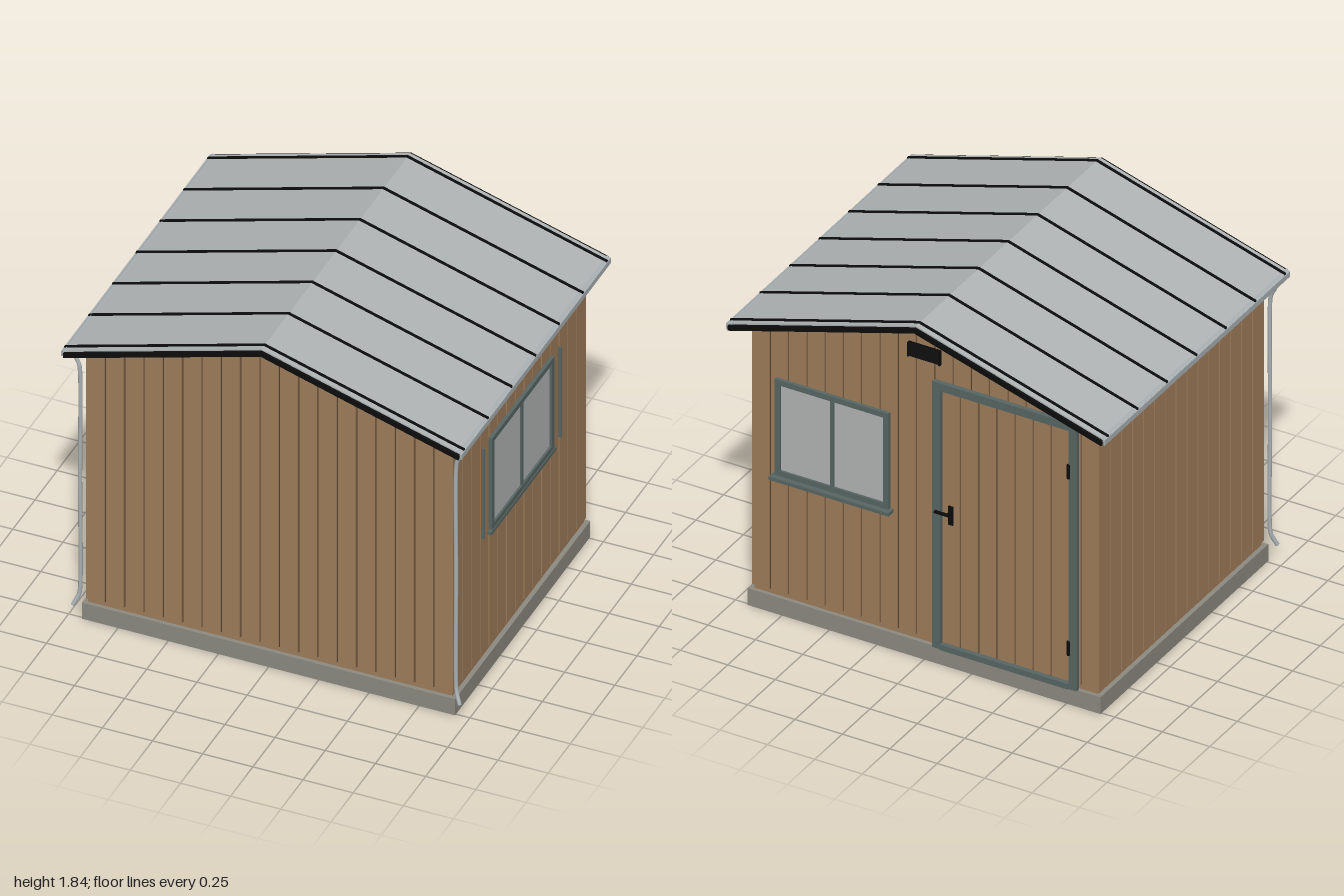
import * as THREE from 'three';

const mat = (name, color) => Object.assign(new THREE.MeshStandardMaterial({ color }), { name });
const M = {
  wood: mat('timber', 0x9f7d5a),
  groove: mat('dark timber groove', 0x54412e),
  concrete: mat('concrete', 0x8c8a80),
  roof: mat('grey roofing', 0xb0b4b5),
  black: mat('black trim', 0x0c0c0c),
  slate: mat('slate frame', 0x586663),
  glass: mat('pale glass', 0xb2b5b5),
  gutter: mat('gutter grey', 0xa9b1b4),
};
M.gutter.side = THREE.DoubleSide;

const SLOPE = 0.3, X = 0.915, Z = 0.748, SKIN = 0.008, PITCH = 0.0965;

function add(parent, name, geo, material, x = 0, y = 0, z = 0) {
  const m = new THREE.Mesh(geo, material);
  m.name = name;
  m.position.set(x, y, z);
  parent.add(m);
  return m;
}
// Box given by its min and max on each axis
function box(parent, name, material, x0, x1, y0, y1, z0, z1) {
  return add(parent, name, new THREE.BoxGeometry(x1 - x0, y1 - y0, z1 - z0), material,
    (x0 + x1) / 2, (y0 + y1) / 2, (z0 + z1) / 2);
}
function prism(parent, name, material, pts, z0, z1) {
  const shape = new THREE.Shape(pts.map(p => new THREE.Vector2(...p)));
  return add(parent, name, new THREE.ExtrudeGeometry(shape, { depth: z1 - z0, bevelEnabled: false }), material, 0, 0, z0);
}
// Bent strip following both roof slopes
function chevron(parent, name, material, half, top, thick, z0, z1) {
  const e = top - SLOPE * half;
  return prism(parent, name, material,
    [[-half, e - thick], [0, top - thick], [half, e - thick], [half, e], [0, top], [-half, e]], z0, z1);
}
// Group whose local +z looks out of a wall
function face(root, name, angle) {
  const g = new THREE.Group();
  g.name = name;
  g.rotation.y = angle;
  root.add(g);
  return g;
}
// Vertical boards with narrow gaps; topAt gives the height along the wall
function boards(parent, name, half, pitch, bottom, topAt, z0, z1) {
  const n = Math.round(2 * half / pitch), w = 2 * half / n, gap = 0.004;
  for (let i = 0; i < n; i++) {
    const a = -half + i * w + (i ? gap : 0), b = -half + (i + 1) * w - (i < n - 1 ? gap : 0);
    prism(parent, name, M.wood, [[a, bottom], [b, bottom], [b, topAt(b)], [a, topAt(a)]], z0, z1);
  }
}
// Two-pane window, centred on x, with its sill
function makeWindow(parent, x, y0, w, z, sillOut) {
  const g = new THREE.Group();
  g.name = 'window';
  g.position.set(x, y0, z);
  parent.add(g);
  const h = 0.515, t = 0.028, d = 0.018, hw = w / 2;
  for (const s of [-1, 1])
    add(g, 'windowJamb', new THREE.BoxGeometry(t, h, d), M.slate, s * (hw - t / 2), h / 2, d / 2);
  box(g, 'windowHead', M.slate, -hw + t, hw - t, h - t, h, 0, d);
  box(g, 'windowBottomRail', M.slate, -hw + t, hw - t, 0, t, 0, d);
  box(g, 'windowMullion', M.slate, -0.009, 0.009, t, h - t, 0, d * 0.8);
  box(g, 'windowGlass', M.glass, -hw + t, hw - t, t, h - t, 0, 0.007);
  box(g, 'windowSill', M.slate, -hw - 0.016, hw + 0.016, -0.018, 0, 0, sillOut);
  return g;
}

function buildWalls(root) {
  const gable = x => 1.812 - SLOPE * Math.max(Math.abs(x), 0.03);
  const cx = X - SKIN, cz = Z - SKIN;
  box(root, 'foundationSlab', M.concrete, -0.93, 0.93, 0, 0.09, -0.76, 0.76);
  box(root, 'bottomPlate', M.wood, -cx, cx, 0.09, 0.112, -cz, cz);
  prism(root, 'wallCore', M.groove,
    [[-cx, 0.112], [cx, 0.112], [cx, gable(cx)], [0, gable(0)], [-cx, gable(cx)]], -cz, cz);
  for (const a of [0, Math.PI]) {
    boards(face(root, a ? 'backWall' : 'frontWall', a), 'gableBoard', X, PITCH, 0.112, gable, cz, Z);
  }
  for (const s of [-1, 1]) {
    boards(face(root, s > 0 ? 'leftWall' : 'rightWall', s * Math.PI / 2), 'sideBoard',
      cz, 0.0985, 0.112, () => gable(X), cx, X);
  }
}

function buildDoor(back) {
  const g = new THREE.Group();
  g.name = 'door';
  g.position.set(0.43, 0, Z);
  back.add(g);
  const hw = 0.38, t = 0.042, top = 1.52, d = 0.024;
  for (const s of [-1, 1])
    add(g, 'doorJamb', new THREE.BoxGeometry(t, top - 0.09, d), M.slate, s * (hw - t / 2), (top + 0.09) / 2, d / 2);
  box(g, 'doorHead', M.slate, -hw + t, hw - t, top - t, top, 0, d);
  box(g, 'doorThreshold', M.slate, -hw + t, hw - t, 0.09, 0.12, 0, 0.03);
  box(g, 'doorBacking', M.groove, -hw + t, hw - t, 0.12, top - t, 0, 0.004);
  boards(g, 'doorBoard', hw - t - 0.004, 0.096, 0.125, () => top - t - 0.005, 0.004, 0.012);
  // Lever handle and hinges
  box(g, 'handlePlate', M.black, -0.3, -0.275, 0.77, 0.87, 0.012, 0.018);
  box(g, 'handleStem', M.black, -0.293, -0.281, 0.834, 0.846, 0.018, 0.054);
  box(g, 'handleLever', M.black, -0.355, -0.281, 0.834, 0.846, 0.042, 0.054);
  for (const y of [0.31, 1.26])
    add(g, 'doorHinge', new THREE.CylinderGeometry(0.008, 0.008, 0.075, 10), M.black, hw - t, y, d);
}

function buildVent(back) {
  const g = new THREE.Group();
  g.name = 'gableVent';
  g.position.set(0, 1.645, Z);
  back.add(g);
  box(g, 'ventBack', M.black, -0.085, 0.085, -0.038, 0.038, 0, 0.006);
  for (let i = 0; i < 5; i++) {
    const s = add(g, 'ventLouvre', new THREE.BoxGeometry(0.16, 0.004, 0.016), M.black, 0, -0.028 + i * 0.014, 0.01);
    s.rotation.x = 0.6;
  }
  for (const s of [-1, 1]) add(g, 'ventSide', new THREE.BoxGeometry(0.008, 0.076, 0.018), M.black, s * 0.082, 0, 0.009);
}

function buildRoof(root) {
  const g = new THREE.Group();
  g.name = 'roof';
  root.add(g);
  chevron(g, 'roofSheet', M.roof, 0.995, 1.835, 0.018, -0.836, 0.836);
  for (let i = -3; i <= 3; i++) {
    const z = Math.abs(i) === 3 ? Math.sign(i) * 0.803 : i * 0.267;
    chevron(g, 'standingSeam', M.black, 0.996, 1.842, 0.008, z - 0.006, z + 0.006);
  }
  for (const s of [-1, 1]) {
    const span = (a, b) => (s > 0 ? [a, b] : [-b, -a]);
    chevron(g, 'bargeBoard', M.black, 0.985, 1.828, 0.026, ...span(0.836, 0.85));
    chevron(g, 'gableSoffit', M.black, 0.985, 1.816, 0.006, ...span(Z, 0.836));
    // Half-round gutter under each eave
    const gutter = add(g, 'gutter', new THREE.CylinderGeometry(0.018, 0.018, 1.68, 16, 1, true, -Math.PI / 2, Math.PI),
      M.gutter, s * 0.979, 1.524, 0);
    gutter.rotation.x = Math.PI / 2;
    // The arc must hang downwards
    gutter.rotation.y = Math.PI;
    box(g, 'gutterLip', M.gutter, s * 0.996 - 0.003, s * 0.996 + 0.003, 1.508, 1.536, -0.84, 0.84);
    // Downpipe with a swan neck and a kicked-out foot
    const path = [[0.978, 1.515, 0.764], [0.97, 1.49, 0.764], [0.942, 1.43, 0.764], [0.937, 1.39, 0.764],
      [0.937, 0.8, 0.764], [0.937, 0.17, 0.764], [0.941, 0.14, 0.767], [0.964, 0.085, 0.785]]
      .map(([x, y, z]) => new THREE.Vector3(s * x, y, z));
    add(g, 'downpipe', new THREE.TubeGeometry(new THREE.CatmullRomCurve3(path), 80, 0.01, 10), M.gutter);
  }
}

export function createModel() {
  const root = new THREE.Group();
  root.name = 'gardenShed';
  buildWalls(root);
  buildRoof(root);

  const back = face(root, 'backFittings', Math.PI);
  buildDoor(back);
  buildVent(back);
  makeWindow(back, -0.485, 0.75, 0.6, Z, 0.045);

  // Side window with upright trim fins beside it
  const side = face(root, 'sideFittings', Math.PI / 2);
  makeWindow(side, 0, 0.77, 0.7, X, 0.022);
  for (const s of [-1, 1])
    add(side, 'windowFin', new THREE.BoxGeometry(0.005, 0.505, 0.02), M.slate, s * 0.433, 1.028, X + 0.008);
  return root;
}
